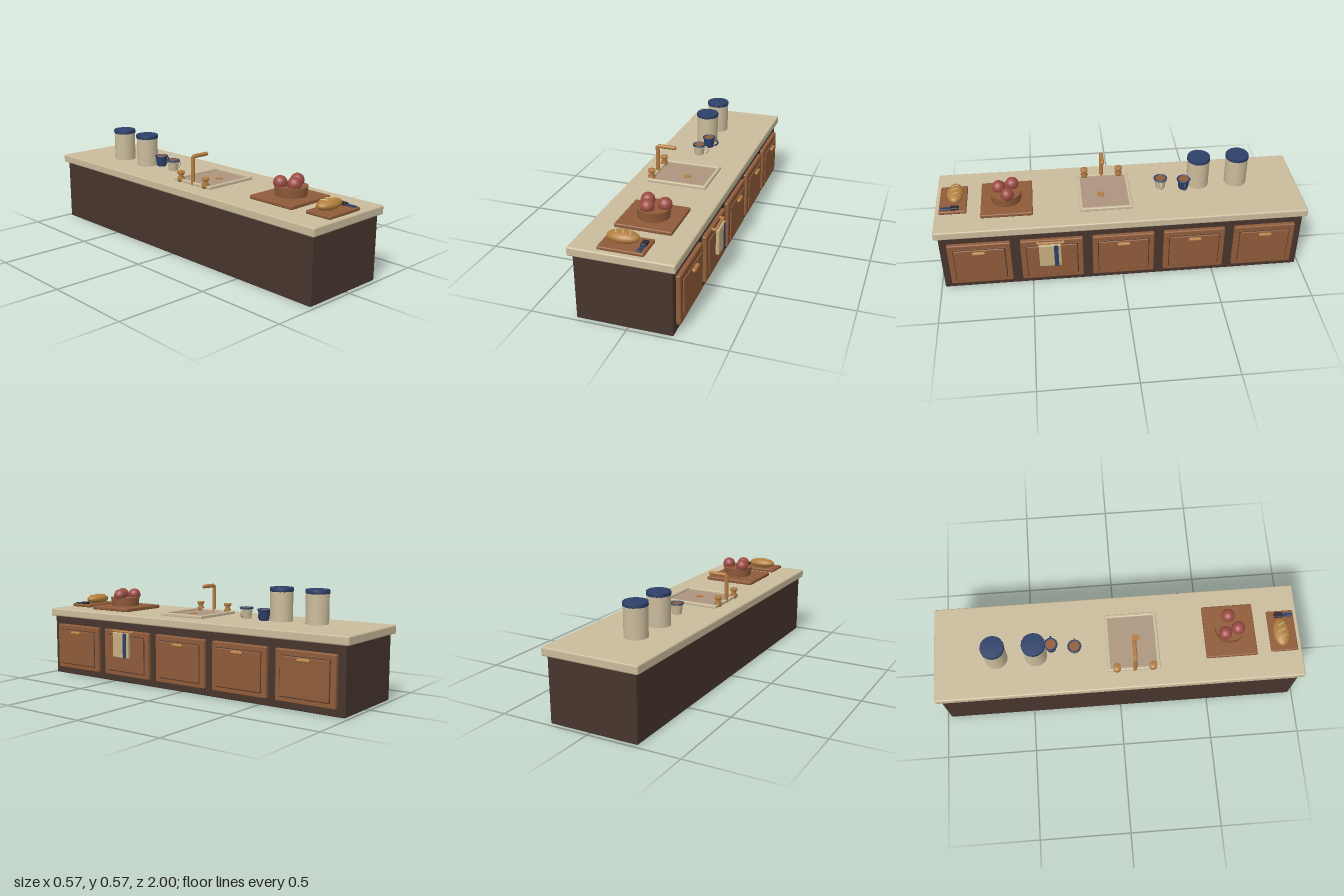
import * as THREE from 'three';
import { RoundedBoxGeometry } from 'three/addons/geometries/RoundedBoxGeometry.js';

const mat = (name, color) => Object.assign(new THREE.MeshStandardMaterial({ color }), { name });

export function createModel() {
  const root = new THREE.Group();
  root.name = 'kitchenIsland';
  const stone = mat('paleStone', 0xcabb9b);
  const dark = mat('darkWood', 0x47352d);
  const wood = mat('warmWood', 0x8f5b39);
  const brass = mat('brass', 0xb47d43);
  const navy = mat('navy', 0x2d4069);
  const red = mat('fruitRed', 0x9b4b43);
  const basin = mat('basinTan', 0xac957e);
  const crust = mat('breadCrust', 0xb27f3d);
  const cloth = mat('cloth', 0xc6b080);
  const black = mat('blackGrip', 0x2a2a30);

  const add = (name, geo, material, x, y, z, parent = root) => {
    const m = new THREE.Mesh(geo, material);
    m.name = name;
    m.position.set(x, y, z);
    parent.add(m);
    return m;
  };
  // Rounded box given by its extents
  const box = (name, material, [x0, x1], [y0, y1], [z0, z1], r = 0.005, parent = root) =>
    add(name, new RoundedBoxGeometry(x1 - x0, y1 - y0, z1 - z0, 2, r), material,
      (x0 + x1) / 2, (y0 + y1) / 2, (z0 + z1) / 2, parent);
  const cyl = (name, material, rTop, rBottom, y0, y1, x, z, parent = root, seg = 24) =>
    add(name, new THREE.CylinderGeometry(rTop, rBottom, y1 - y0, seg), material, x, (y0 + y1) / 2, z, parent);
  const group = (name, x = 0, y = 0, z = 0) => {
    const g = new THREE.Group();
    g.name = name;
    g.position.set(x, y, z);
    root.add(g);
    return g;
  };

  // Cabinet and worktop
  box('cabinet', dark, [-0.265, 0.226], [0, 0.352], [-0.98, 0.98], 0.006);
  box('worktop', stone, [-0.286, 0.246], [0.347, 0.393], [-1, 1], 0.008);

  // Five doors along the +x side
  for (let i = -2; i <= 2; i++) {
    const door = group('door', 0, 0, i * 0.386);
    box('doorFrame', wood, [0.222, 0.248], [0.04, 0.303], [-0.167, 0.167], 0.006, door);
    box('panelGroove', dark, [0.244, 0.2495], [0.064, 0.275], [-0.139, 0.139], 0.002, door);
    box('doorPanel', wood, [0.244, 0.256], [0.068, 0.271], [-0.135, 0.135], 0.004, door);
    if (i === 1) continue; // the towel rail takes the place of this handle
    const handle = add('doorHandle', new THREE.CapsuleGeometry(0.01, 0.052, 4, 12), brass, 0.266, 0.259, 0, door);
    handle.rotation.x = Math.PI / 2;
    for (const z of [-0.02, 0.02]) box('handlePost', brass, [0.252, 0.266], [0.255, 0.263], [z - 0.004, z + 0.004], 0.001, door);
  }

  // Towel rail with hanging towel
  const rail = add('towelRail', new THREE.CapsuleGeometry(0.007, 0.14, 4, 12), brass, 0.266, 0.3, 0.392);
  rail.rotation.x = Math.PI / 2;
  for (const z of [0.325, 0.459]) box('railBracket', brass, [0.244, 0.268], [0.293, 0.307], [z - 0.006, z + 0.006], 0.003);
  box('towel', cloth, [0.265, 0.284], [0.153, 0.295], [0.337, 0.455], 0.005);
  box('towelStripe', navy, [0.281, 0.287], [0.154, 0.294], [0.352, 0.375], 0.001);

  // Sink: flat basin, raised rim and drain
  box('sinkBasin', basin, [-0.18, 0.125], [0.388, 0.398], [-0.055, 0.21], 0.002);
  for (const x of [-0.181, 0.127]) box('sinkRimSide', stone, [x - 0.009, x + 0.009], [0.39, 0.41], [-0.063, 0.222], 0.006);
  for (const z of [-0.054, 0.213]) box('sinkRimEnd', stone, [-0.188, 0.134], [0.39, 0.41], [z - 0.009, z + 0.009], 0.006);
  cyl('drain', brass, 0.021, 0.021, 0.394, 0.402, -0.005, 0.1);

  // Tap and its two knobs
  cyl('tapPost', brass, 0.011, 0.011, 0.393, 0.547, -0.182, 0.083);
  const spout = add('tapSpout', new THREE.CapsuleGeometry(0.011, 0.087, 4, 16), brass, -0.129, 0.548, 0.083);
  spout.rotation.z = Math.PI / 2;
  const knobProfile = [[0, 0], [0.016, 0], [0.021, 0.02], [0.011, 0.032], [0.021, 0.047], [0.021, 0.057], [0, 0.057]]
    .map(([r, y]) => new THREE.Vector2(r, y));
  for (const z of [-0.014, 0.18]) add('tapKnob', new THREE.LatheGeometry(knobProfile, 16), brass, -0.181, 0.393, z);

  // Storage jars
  for (const z of [-0.447, -0.662]) {
    const jar = group('jar', -0.065, 0, z);
    cyl('jarBody', stone, 0.061, 0.061, 0.393, 0.552, 0, 0, jar);
    const lid = [[0, 0.55], [0.061, 0.55], [0.064, 0.553], [0.064, 0.569], [0.061, 0.573], [0, 0.573]];
    const lidGeo = new THREE.LatheGeometry(lid.map(([r, y]) => new THREE.Vector2(r, y)), 16);
    add('jarLid', lidGeo, navy, 0, 0, 0, jar);
  }

  // Mugs
  for (const [x, z, body] of [[-0.048, -0.235, stone], [-0.028, -0.362, navy]]) {
    const mug = group('mug', x, 0, z);
    cyl('mugBody', body, 0.034, 0.026, 0.393, 0.45, 0, 0, mug);
    const rim = add('mugRim', new THREE.TorusGeometry(0.033, 0.005, 8, 24), navy, 0, 0.45, 0, mug);
    rim.rotation.x = Math.PI / 2;
    cyl('coffee', wood, 0.029, 0.029, 0.448, 0.4515, 0, 0, mug);
    const ear = add('mugHandle', new THREE.TorusGeometry(0.018, 0.005, 8, 16, Math.PI * 1.1), body, 0.035, 0.423, 0, mug);
    ear.rotation.z = -Math.PI * 0.55;
  }

  // Large board with bowl and fruit
  box('servingBoard', wood, [-0.154, 0.141], [0.393, 0.414], [0.475, 0.753], 0.006);
  cyl('fruitBowl', wood, 0.085, 0.08, 0.412, 0.464, 0, 0.615, root, 32);
  for (const [x, z] of [[-0.044, 0.58], [0.055, 0.606], [-0.02, 0.652]])
    add('fruit', new THREE.SphereGeometry(0.036, 20, 14), red, x, 0.479, z);

  // Small board with loaf and knife
  box('breadBoard', wood, [-0.143, 0.089], [0.393, 0.411], [0.829, 0.976], 0.006);
  const loaf = add('loaf', new THREE.SphereGeometry(1, 24, 16), crust, -0.044, 0.435, 0.89);
  loaf.scale.set(0.081, 0.029, 0.045);
  for (const dx of [-0.036, 0, 0.036]) {
    const score = add('loafScore', new THREE.CapsuleGeometry(0.004, 0.034, 3, 8), cloth,
      -0.044 + dx, dx === 0 ? 0.463 : 0.46, 0.89);
    score.rotation.set(Math.PI / 2, 0, -0.45);
  }
  box('knifeGrip', black, [0.046, 0.077], [0.41, 0.424], [0.868, 0.915], 0.005);
  box('knifeBlade', navy, [0.05, 0.072], [0.41, 0.418], [0.91, 0.967], 0.003);

  return root;
}
